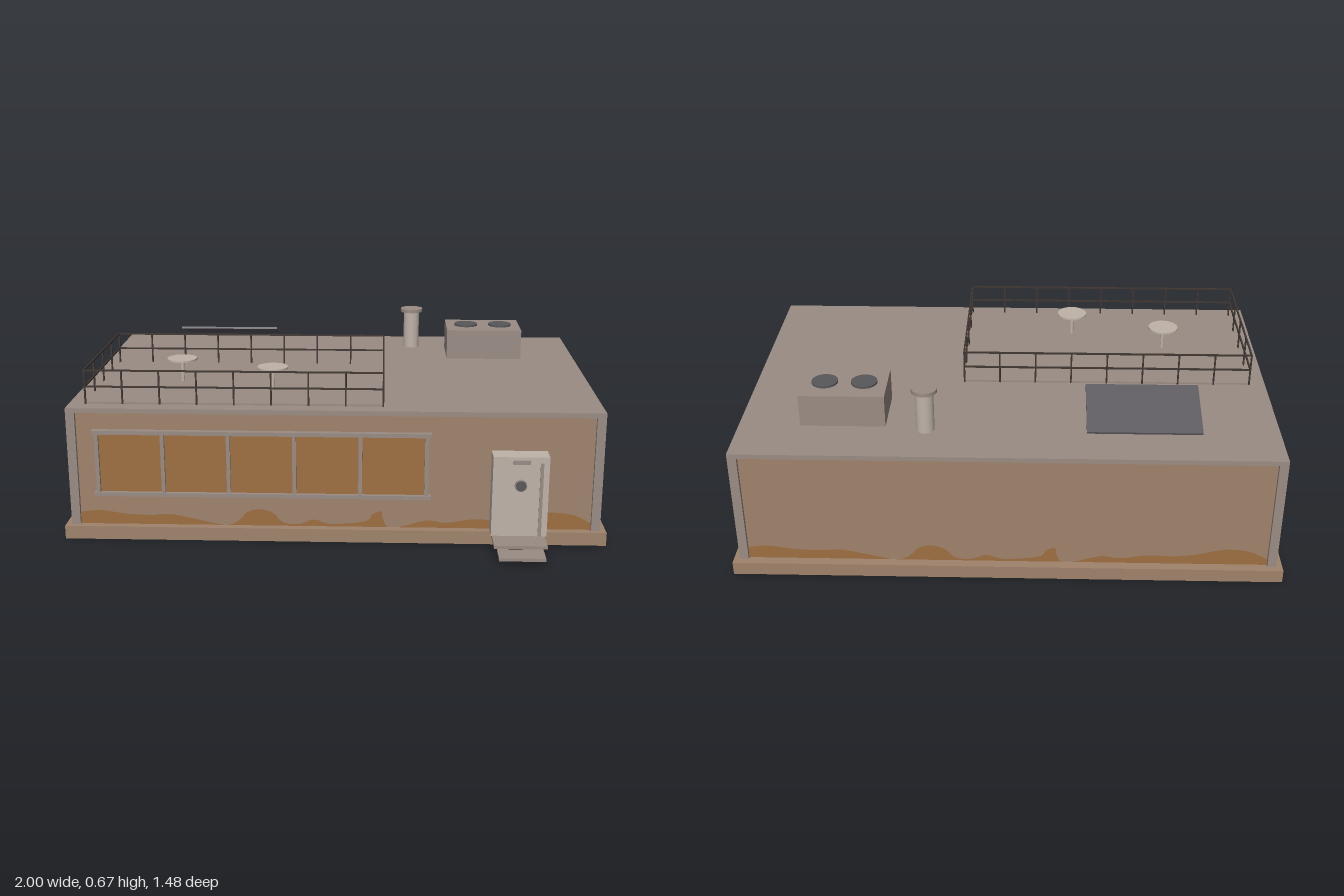
import * as THREE from 'three';

const mat = (name, color) => {
  const m = new THREE.MeshStandardMaterial({ color });
  m.name = name;
  return m;
};

export function createModel() {
  const root = new THREE.Group();
  root.name = 'building';
  const wall = mat('tan wall', 0x9f836c);
  const trim = mat('taupe trim', 0x9a8c84);
  const pale = mat('pale metal', 0xbfb3a8);
  const amber = mat('amber glass', 0x9f7041);
  const rust = mat('rust stain', 0x9e6f40);
  const dark = mat('dark glass', 0x58575a);
  const solar = mat('solar blue grey', 0x5d5a60);
  const rail = mat('dark rail', 0x3f3631);

  const add = (name, geo, material, x, y, z, parent = root) => {
    const m = new THREE.Mesh(geo, material);
    m.name = name;
    m.position.set(x, y, z);
    parent.add(m);
    return m;
  };
  // box given by its extents on each axis
  const box = (name, material, x0, x1, y0, y1, z0, z1, parent = root) =>
    add(name, new THREE.BoxGeometry(x1 - x0, y1 - y0, z1 - z0), material,
      (x0 + x1) / 2, (y0 + y1) / 2, (z0 + z1) / 2, parent);
  const cyl = (name, material, r, y0, y1, x, z, parent = root) =>
    add(name, new THREE.CylinderGeometry(r, r, y1 - y0, 32), material, x, (y0 + y1) / 2, z, parent);
  const group = (name) => {
    const g = new THREE.Group();
    g.name = name;
    root.add(g);
    return g;
  };

  // main body
  const X = 0.978, ZB = -0.716, ZF = 0.516, P = 0.033, R = 0.015;
  box('base', wall, -1, 1, 0, 0.05, -0.74, 0.535);
  box('walls', wall, -X + R, X - R, 0.05, 0.485, ZB + R, ZF - R);
  box('roof', trim, -X, X, 0.482, 0.5, ZB, ZF);
  for (const x of [-X, X - P])
    for (const z of [ZB, ZF - P]) box('cornerPost', trim, x, x + P, 0.05, 0.482, z, z + P);

  // rust stains along the foot of each wall: [fraction of width, height]
  const profile = [[0, .095], [.04, .103], [.09, .09], [.14, .086], [.18, .09], [.24, .067], [.285, .05],
    [.31, .065], [.33, .103], [.355, .114], [.38, .1], [.4, .064], [.43, .057], [.46, .076], [.49, .06],
    [.53, .063], [.565, .075], [.575, .1], [.592, .112], [.595, .085], [.605, .05], [.63, .052],
    [.68, .078], [.72, .07], [.77, .085], [.82, .082], [.86, .09], [.91, .113], [.94, .114], [.97, .104], [1, .075]];
  const stain = (width, x, z, turn) => {
    const pts = profile.map(([u, y]) => new THREE.Vector2((u - 0.5) * width, y));
    const s = new THREE.Shape();
    s.moveTo(-width / 2, 0.045);
    s.lineTo(pts[0].x, pts[0].y);
    s.splineThru(pts.slice(1));
    s.lineTo(width / 2, 0.045);
    s.closePath();
    add('rustStain', new THREE.ShapeGeometry(s, 4), rust, x, 0, z).rotation.y = turn;
  };
  const zc = (ZF + ZB) / 2, wx = 2 * (X - P), wz = ZF - ZB - 2 * P, gap = R - 0.003;
  stain(wx, 0, ZF - gap, 0);
  stain(wx, 0, ZB + gap, Math.PI);
  stain(wz, X - gap, zc, Math.PI / 2);
  stain(wz, -X + gap, zc, -Math.PI / 2);

  // long front window
  const win = group('frontWindow');
  box('glass', amber, -0.87, 0.34, 0.17, 0.41, 0.5, 0.506, win);
  box('sill', trim, -0.885, 0.355, 0.165, 0.179, 0.5, 0.522, win);
  box('lintel', trim, -0.885, 0.355, 0.402, 0.417, 0.5, 0.522, win);
  for (let i = 0; i <= 5; i++) {
    const x = -0.87 + i * 0.2415;
    box('mullion', trim, x - 0.007, x + 0.007, 0.179, 0.402, 0.5, 0.518, win);
  }

  // side windows
  for (const s of [-1, 1])
    for (const z of [0.143, -0.34]) add('sideWindow', new THREE.BoxGeometry(0.008, 0.083, 0.167), dark, s * (X - R + 0.003), 0.33, z);

  // entrance
  const door = group('entrance');
  box('doorBlock', pale, 0.573, 0.775, 0.05, 0.352, 0.5, 0.577, door);
  box('doorEdge', trim, 0.742, 0.754, 0.05, 0.33, 0.57, 0.581, door);
  box('doorLamp', trim, 0.645, 0.706, 0.326, 0.341, 0.57, 0.586, door);
  const ring = add('portholeRim', new THREE.CylinderGeometry(0.022, 0.022, 0.012, 32), trim, 0.674, 0.246, 0.58, door);
  const port = add('porthole', new THREE.CylinderGeometry(0.019, 0.019, 0.012, 32), dark, 0.674, 0.246, 0.582, door);
  ring.rotation.x = port.rotation.x = Math.PI / 2;
  box('upperStep', trim, 0.577, 0.768, 0.039, 0.051, 0.535, 0.672, door);
  box('lowerStep', trim, 0.59, 0.755, 0.02, 0.032, 0.657, 0.74, door);

  // roof terrace with railing
  const terrace = group('terrace');
  const x0 = -0.916, x1 = 0.178, z0 = -0.162, z1 = 0.453, t = 0.003;
  box('deck', trim, x0, x1, 0.5, 0.507, z0, z1, terrace);
  for (const y of [0.565, 0.626]) {
    for (const z of [z0, z1]) box('rail', rail, x0 - t, x1 + t, y - t, y + t, z - t, z + t, terrace);
    for (const x of [x0, x1]) box('rail', rail, x - t, x + t, y - t, y + t, z0, z1, terrace);
  }
  const post = (x, z) => box('railPost', rail, x - t, x + t, 0.5, 0.626, z - t, z + t, terrace);
  for (let i = 0; i <= 8; i++) for (const z of [z0, z1]) post(x0 + (x1 - x0) * i / 8, z);
  for (let i = 1; i < 4; i++) for (const x of [x0, x1]) post(x, z0 + (z1 - z0) * i / 4);
  for (const [x, z] of [[-0.606, 0.137], [-0.242, 0.26]]) {
    cyl('tableLeg', pale, 0.007, 0.505, 0.594, x, z, terrace);
    cyl('tableTop', pale, 0.058, 0.592, 0.599, x, z, terrace);
  }

  // tilted solar panel, higher toward the front
  const panel = add('solarPanel', new THREE.BoxGeometry(0.41, 0.008, 0.24), solar, -0.485, 0.574, -0.49);
  panel.rotation.x = -Math.atan2(0.068, 0.23);

  // chimney and cooling unit
  cyl('chimney', pale, 0.033, 0.5, 0.66, 0.298, -0.525);
  cyl('chimneyCap', trim, 0.047, 0.656, 0.67, 0.298, -0.525);
  box('coolingUnit', trim, 0.444, 0.754, 0.5, 0.622, -0.512, -0.297);
  for (const x of [0.528, 0.672]) cyl('coolingFan', dark, 0.048, 0.62, 0.63, x, -0.405);

  return root;
}
